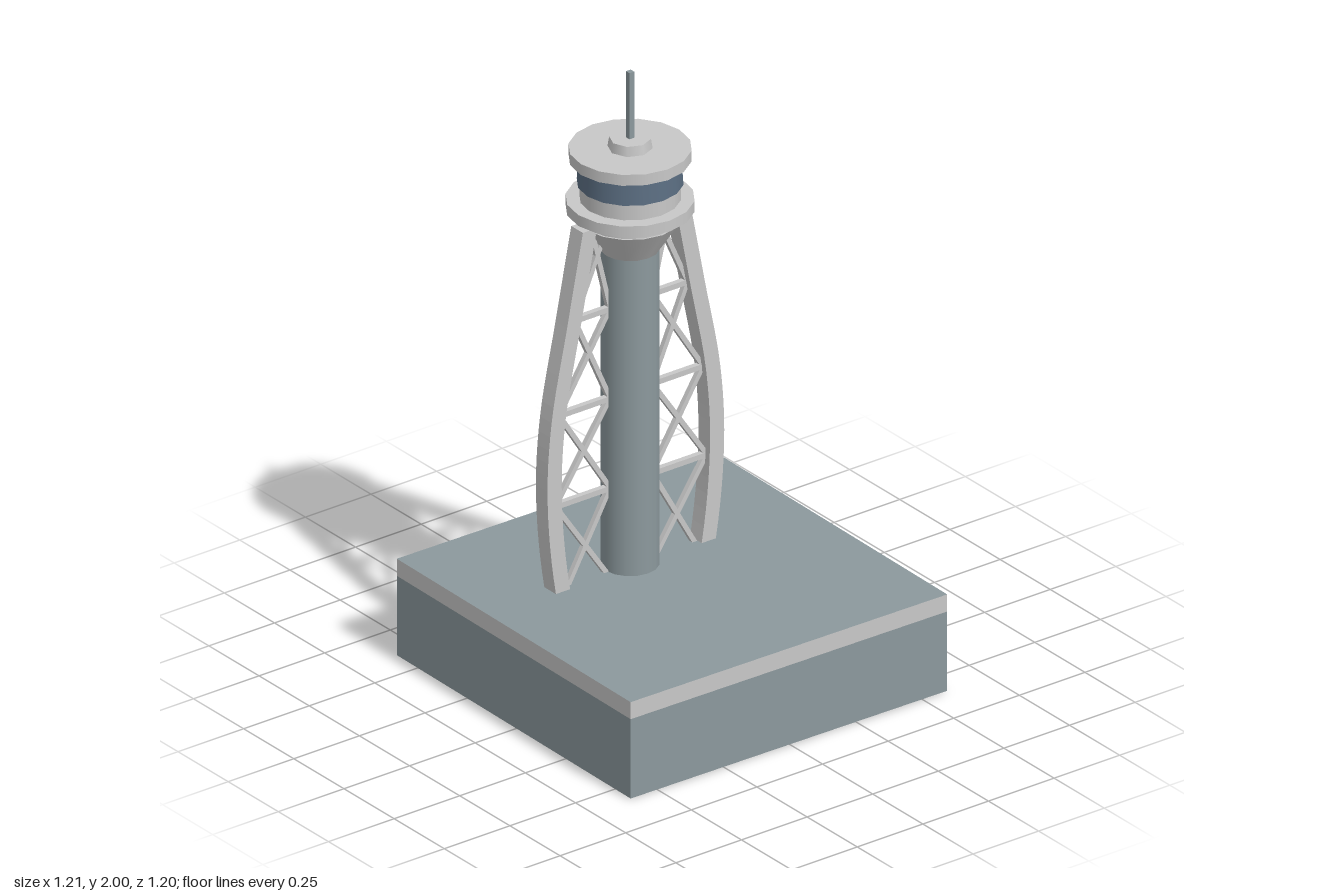
import * as THREE from 'three';

const paint = (name, color, side = THREE.FrontSide) => {
  const m = new THREE.MeshStandardMaterial({ color, side });
  m.name = name;
  return m;
};

export function createModel() {
  const slate = paint('slate grey', 0x8c999d, THREE.DoubleSide);
  const pale = paint('pale grey', 0xc8c8c8, THREE.DoubleSide);
  const glass = paint('blue glass', 0x5b6e82);

  const model = new THREE.Group();
  model.name = 'controlTower';
  const add = (parent, name, geometry, material) => {
    const mesh = new THREE.Mesh(geometry, material);
    mesh.name = name;
    parent.add(mesh);
    return mesh;
  };

  // Base building: open underneath, very slightly turned
  const W = 1.195, D = 1.185, H = 0.328, BAND = 0.27;
  const base = new THREE.Group();
  base.name = 'base';
  base.rotation.y = -0.0125;
  model.add(base);
  const walls = (name, y0, y1, material) => {
    for (let i = 0; i < 4; i++) {
      const [width, dist] = i % 2 ? [D, W / 2] : [W, D / 2];
      const g = new THREE.PlaneGeometry(width, y1 - y0);
      g.translate(0, (y0 + y1) / 2, dist).rotateY(i * Math.PI / 2);
      add(base, name, g, material);
    }
  };
  walls('baseWall', 0, BAND, slate);
  walls('parapet', BAND, H, pale);
  add(base, 'baseRoof', new THREE.PlaneGeometry(W, D).rotateX(-Math.PI / 2).translate(0, H, 0), slate);

  // Tower, set towards the back
  const tower = new THREE.Group();
  tower.name = 'tower';
  tower.position.set(-0.045, 0, -0.15);
  model.add(tower);
  const drum = (name, y0, y1, r0, r1, material, sides = 16, open = false) => {
    const g = new THREE.CylinderGeometry(r1, r0, y1 - y0, sides, 1, open);
    add(tower, name, g.translate(0, (y0 + y1) / 2, 0), material);
  };
  drum('shaft', 0, 1.42, 0.09, 0.09, slate, 16, true);
  drum('cabinCone', 1.4, 1.508, 0.09, 0.161, pale);
  drum('cabinWall', 1.508, 1.625, 0.155, 0.155, pale);
  drum('balcony', 1.535, 1.572, 0.197, 0.197, pale);
  drum('windowBand', 1.625, 1.706, 0.163, 0.158, glass);
  drum('cabinRoof', 1.706, 1.743, 0.188, 0.188, pale);
  drum('roofCap', 1.743, 1.775, 0.069, 0.064, pale, 8);
  add(tower, 'antenna', new THREE.BoxGeometry(0.018, 0.23, 0.018).translate(0, 1.885, 0), slate);

  // Bowed legs: centre line as (offset from axis, height)
  const curve = new THREE.SplineCurve([
    [0.2, 0], [0.278, 0.33], [0.309, 0.64], [0.294, 0.915], [0.235, 1.22], [0.175, 1.525],
  ].map(([x, y]) => new THREE.Vector2(x, y)));
  const line = curve.getPoints(30);
  const legX = (y) => {
    let i = 1;
    while (i < line.length - 1 && line[i].y < y) i++;
    const a = line[i - 1], b = line[i];
    return a.x + (b.x - a.x) * (y - a.y) / (b.y - a.y);
  };

  // Square bar between two points in the plane of the legs
  const strut = (parent, name, x0, y0, x1, y1, t) => {
    const g = new THREE.BoxGeometry(Math.hypot(x1 - x0, y1 - y0), t, t);
    const m = add(parent, name, g, pale);
    m.position.set((x0 + x1) / 2, (y0 + y1) / 2, 0);
    m.rotation.z = Math.atan2(y1 - y0, x1 - x0);
  };

  const STEP = 0.305, INNER = 0.08, HALF = 0.027, DEPTH = 0.058;
  for (const s of [1, -1]) {
    const side = new THREE.Group();
    side.name = s > 0 ? 'leftBrace' : 'rightBrace';
    tower.add(side);

    const outline = [
      ...line.map((p) => new THREE.Vector2(s * (p.x + HALF), p.y)),
      ...line.map((p) => new THREE.Vector2(s * (p.x - HALF), p.y)).reverse(),
    ];
    const g = new THREE.ExtrudeGeometry(new THREE.Shape(outline), { depth: DEPTH, bevelEnabled: false });
    add(side, 'leg', g.translate(0, 0, -DEPTH / 2), pale);

    // Lattice between leg and shaft
    for (let i = 0; i < 5; i++) {
      const y0 = i * STEP, y1 = y0 + STEP;
      const a = s * (legX(y0) - 0.02), b = s * (legX(y1) - 0.02), c = s * INNER;
      strut(side, 'diagonal', c, y0, b, y1, 0.016);
      strut(side, 'diagonal', a, y0, c, y1, 0.016);
      if (i > 0) strut(side, 'crossbar', c, y0, a, y0, 0.018);
    }
  }
  return model;
}
